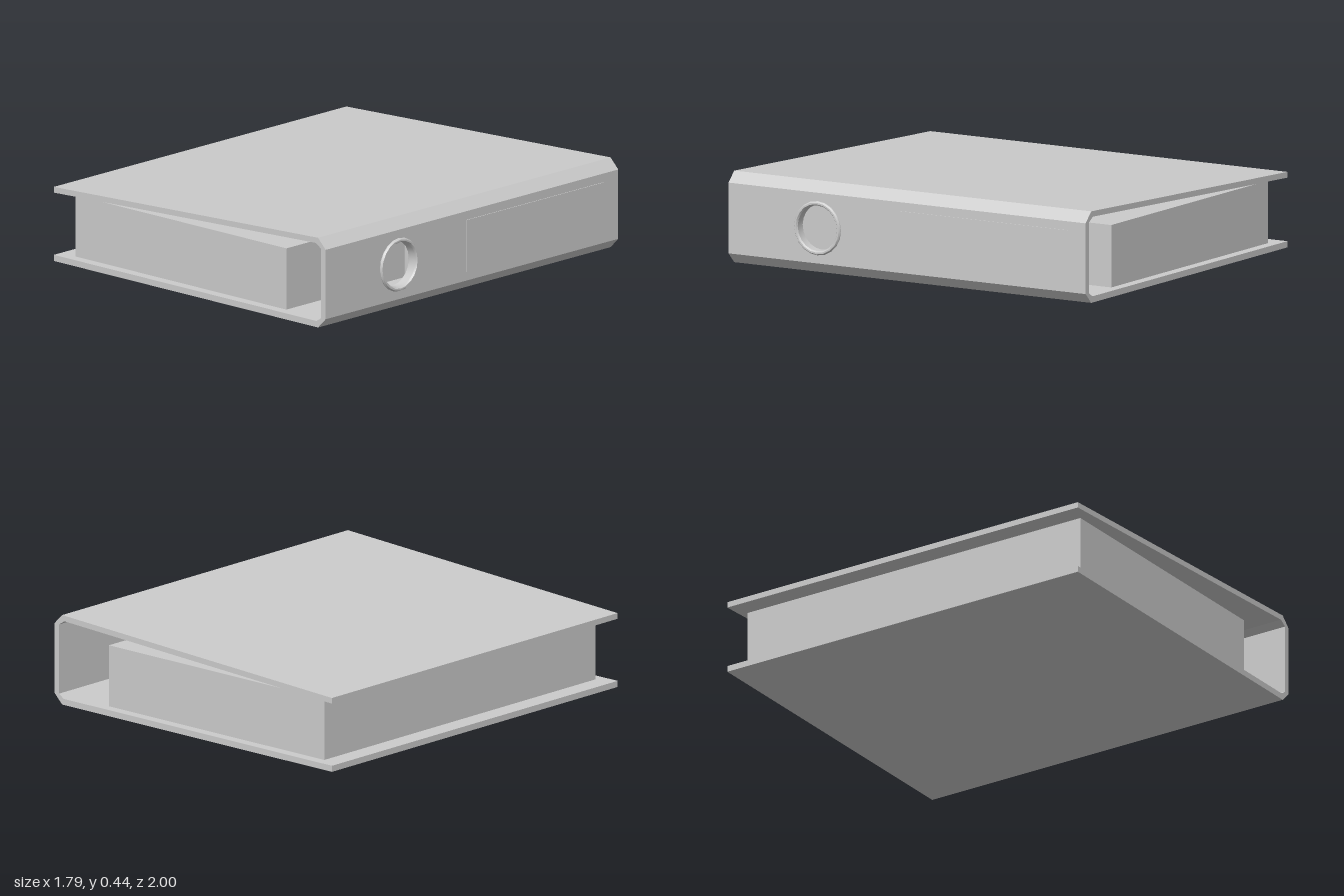
import * as THREE from 'three';
import { toCreasedNormals } from 'three/addons/utils/BufferGeometryUtils.js';

const grey = new THREE.MeshStandardMaterial({ color: 0xcccccc });

function add(group, name, geometry, x = 0, y = 0, z = 0) {
  const mesh = new THREE.Mesh(geometry, grey);
  mesh.name = name;
  mesh.position.set(x, y, z);
  group.add(mesh);
  return mesh;
}

// Board with a folded, chamfered edge, run along the full depth
function board(points) {
  const shape = new THREE.Shape(points.map(([x, y]) => new THREE.Vector2(x, y)));
  return new THREE.ExtrudeGeometry(shape, { depth: 2, bevelEnabled: false }).translate(0, 0, -1);
}

// Arch-shaped binding ring: straight post, then a half circle down into the pages
function archCurve() {
  const cx = 0.595, cy = 0.255, r = 0.123, steps = 8;
  const pts = [new THREE.Vector3(cx + r, 0.03, 0)];
  for (let i = 0; i <= steps; i++) {
    const a = (i / steps) * Math.PI;
    pts.push(new THREE.Vector3(cx + r * Math.cos(a), cy + r * Math.sin(a), 0));
  }
  pts.push(new THREE.Vector3(cx - r, 0.03, 0));
  const path = new THREE.CurvePath();
  for (let i = 1; i < pts.length; i++) path.add(new THREE.LineCurve3(pts[i - 1], pts[i]));
  return path;
}

export function createModel() {
  const group = new THREE.Group();
  group.name = 'ringBinder';

  // Covers
  add(group, 'bottomCover', board([
    [-0.9, 0], [0.83, 0], [0.88, 0.05], [0.85, 0.05], [0.82, 0.03], [-0.9, 0.03],
  ]));
  add(group, 'topCover', board([
    [-0.9, 0.335], [0.815, 0.412], [0.85, 0.39], [0.88, 0.39], [0.83, 0.44], [-0.9, 0.363],
  ]));

  // Spine with a round finger hole
  const spine = new THREE.Shape();
  spine.moveTo(-1, 0.05);
  spine.lineTo(1, 0.05);
  spine.lineTo(1, 0.39);
  spine.lineTo(-1, 0.39);
  spine.closePath();
  const hole = new THREE.Path();
  hole.absarc(-0.5, 0.22, 0.118, 0, Math.PI * 2, true);
  spine.holes.push(hole);
  const spineGeometry = new THREE.ExtrudeGeometry(spine, { depth: 0.03, bevelEnabled: false, curveSegments: 20 });
  add(group, 'spine', spineGeometry.rotateY(Math.PI / 2), 0.85);

  // Rim lining the finger hole
  const rim = [
    [0.11, 0], [0.124, 0], [0.13, 0.008], [0.13, 0.044], [0.124, 0.052],
    [0.116, 0.052], [0.11, 0.044], [0.11, 0],
  ].map(([r, h]) => new THREE.Vector2(r, h));
  const rimGeometry = toCreasedNormals(new THREE.LatheGeometry(rim, 20), 0.5).rotateZ(-Math.PI / 2);
  add(group, 'fingerHoleRim', rimGeometry, 0.84, 0.22, 0.5);

  // Label panel on the spine
  add(group, 'spineLabel', new THREE.BoxGeometry(0.008, 0.255, 0.94), 0.88, 0.22, -0.43);

  // Stack of pages
  add(group, 'pages', new THREE.BoxGeometry(1.38, 0.3, 1.9), -0.115, 0.18, 0);

  // Pair of binding rings
  const arch = new THREE.TubeGeometry(archCurve(), 48, 0.017, 8, false);
  for (const z of [-0.27, 0.27]) add(group, 'bindingRing', arch, 0, 0, z);

  return group;
}
